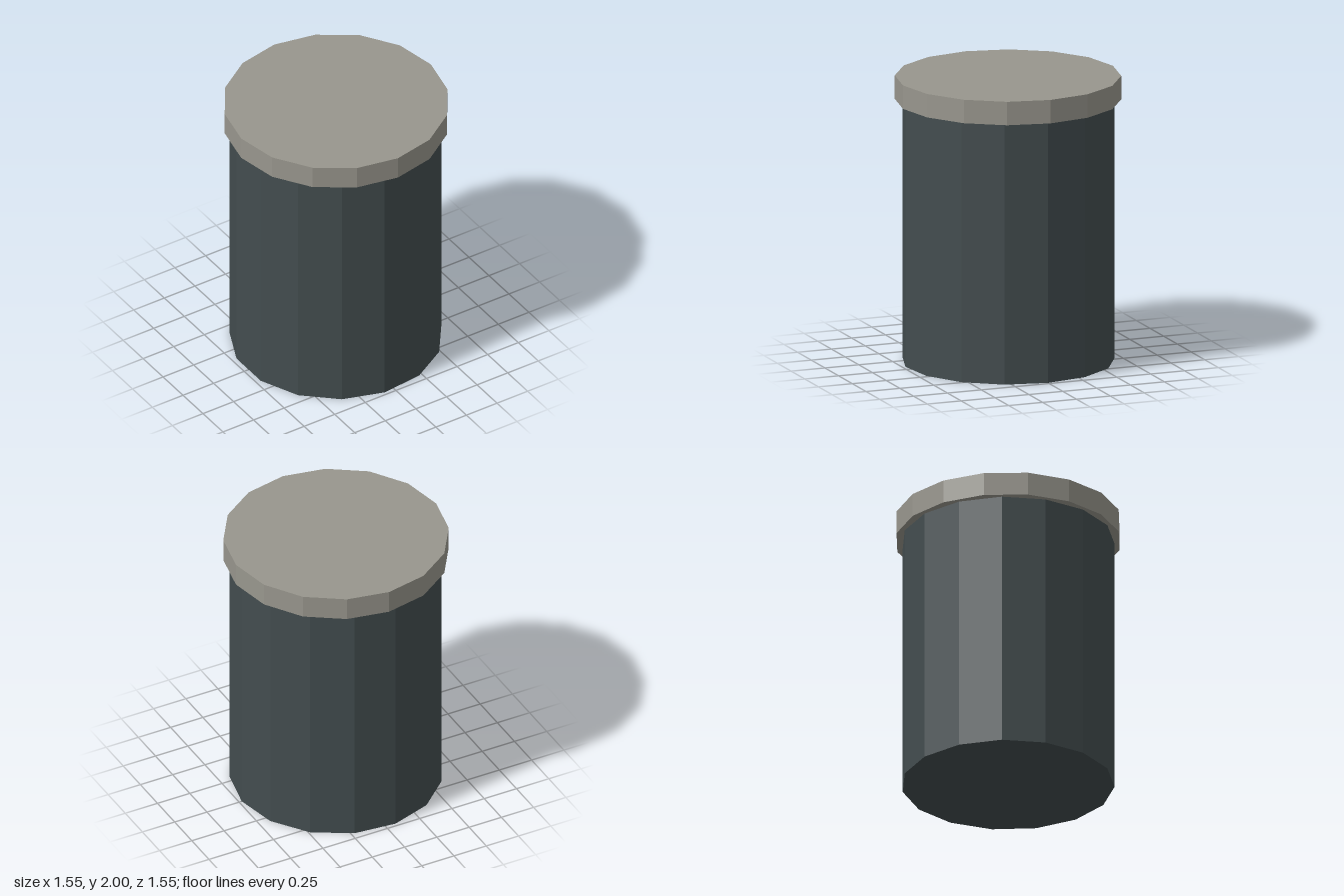
import * as THREE from 'three';

// Flat-shaded closed prism spanning y0..y1, with one corner on +x
function prism(name, radius, y0, y1, sides, color) {
  const geometry = new THREE.CylinderGeometry(radius, radius, y1 - y0, sides, 1, false, Math.PI / 2);
  const material = new THREE.MeshStandardMaterial({ color, flatShading: true });
  const mesh = new THREE.Mesh(geometry, material);
  mesh.name = name;
  mesh.position.y = (y0 + y1) / 2;
  return mesh;
}

export function createModel() {
  const model = new THREE.Group();
  model.name = 'canister';
  const lidBase = 1.835;

  // Dark fifteen-sided body
  model.add(prism('body', 0.73, 0, lidBase, 15, 0x434d4f));

  // Wider sixteen-sided lid
  model.add(prism('lid', 0.775, lidBase, 2, 16, 0x98968d));

  return model;
}
